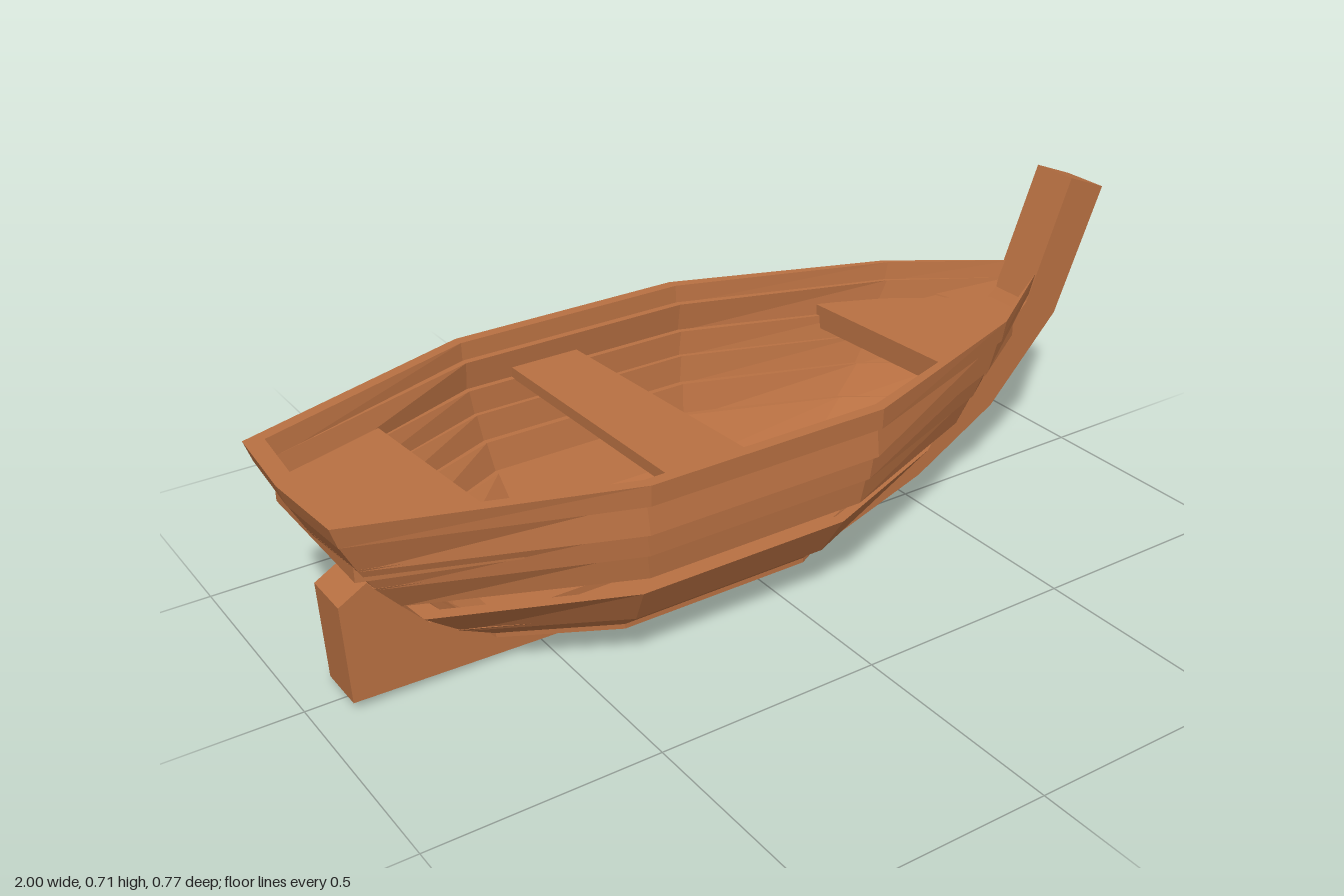
import * as THREE from 'three';

// Hull lines by height: [y, stern x, stern half width, bow x]
const LINES = [
  [0.06, -0.6, 0.07, 0.24], [0.13, -0.72, 0.1, 0.45], [0.2, -0.8, 0.14, 0.57],
  [0.27, -0.86, 0.165, 0.67], [0.34, -0.92, 0.18, 0.73], [0.44, -0.98, 0.195, 0.81], [0.5, -1, 0.2, 0.83],
];

function lineAt(y) {
  let i = 0;
  while (i < LINES.length - 2 && y > LINES[i + 1][0]) i++;
  const a = LINES[i], b = LINES[i + 1], t = (y - a[0]) / (b[0] - a[0]);
  return [1, 2, 3].map((k) => a[k] + (b[k] - a[k]) * t);
}

// Plan outline of the hull at one height, from the left bow round the stern to the right bow
function outline(y, w, inset) {
  const [stern, sternW, bow] = lineAt(y);
  const low = Math.max(0, 0.4 - y) * 0.15, m = w - inset;
  const half = [
    [bow, Math.min(0.04, m)], [0.1 - low + (bow - 0.1 + low) * 0.66, m * 0.545],
    [0.1 - low, m], [-0.44 + low, m],
    [stern + 0.015 + inset * 1.5, Math.min(sternW, w) - inset * 0.6],
  ];
  const left = half.map(([x, z]) => new THREE.Vector3(x, y, z));
  const right = half.map(([x, z]) => new THREE.Vector3(x, y, -z)).reverse();
  return [...left, new THREE.Vector3(stern + inset * 1.5, y, 0), ...right];
}

// One plank course with thickness, starting at a chosen outline segment
function strake([yTop, wTop, yBot, wBot], first, material) {
  const t = 0.026;
  const rows = [outline(yTop, wTop, 0), outline(yBot, wBot, 0), outline(yBot, wBot, t), outline(yTop, wTop, t)];
  const pos = [];
  for (let i = first; i < rows[0].length - 1; i++) {
    for (let r = 0; r < 4; r++) {
      const a = rows[r], b = rows[(r + 1) % 4];
      for (const p of [a[i], a[i + 1], b[i + 1], a[i], b[i + 1], b[i]]) pos.push(p.x, p.y, p.z);
    }
  }
  const geo = new THREE.BufferGeometry();
  geo.setAttribute('position', new THREE.Float32BufferAttribute(pos, 3));
  geo.computeVertexNormals();
  return new THREE.Mesh(geo, material);
}

function extrude(points, depth) {
  const shape = new THREE.Shape(points.map(([x, y]) => new THREE.Vector2(x, y)));
  return new THREE.ExtrudeGeometry(shape, { depth, bevelEnabled: false });
}

// Horizontal board given by [x, z] corners
function board(name, points, top, thickness, material) {
  const geo = extrude(points.map(([x, z]) => [x, -z]), thickness);
  geo.rotateX(-Math.PI / 2).translate(0, top - thickness, 0);
  const mesh = new THREE.Mesh(geo, material);
  mesh.name = name;
  return mesh;
}

export function createModel() {
  const model = new THREE.Group();
  model.name = 'rowingBoat';
  const wood = new THREE.MeshStandardMaterial({ color: 0xb87042, flatShading: true, side: THREE.DoubleSide });
  wood.name = 'brownWood';

  // Overlapping plank courses: [top y, top half width, bottom y, bottom half width]
  const hull = new THREE.Group();
  hull.name = 'hull';
  const courses = [
    [0.5, 0.386, 0.455, 0.384], [0.46, 0.368, 0.39, 0.378], [0.395, 0.364, 0.335, 0.362],
    [0.34, 0.352, 0.275, 0.345], [0.28, 0.332, 0.2, 0.315], [0.215, 0.305, 0.125, 0.252],
    [0.135, 0.25, 0.078, 0.195],
  ];
  courses.forEach((c, i) => {
    // One course is missing along the left side
    const plank = strake(c, i === 4 ? 4 : 0, wood);
    plank.name = i === 0 ? 'gunwale' : 'plank' + i;
    hull.add(plank);
  });

  // Bottom boards closing the hull
  const floor = outline(0.08, 0.198, 0).map((p) => [p.x, p.z]);
  hull.add(board('bottomBoards', floor, 0.084, 0.014, wood));
  model.add(hull);

  // Keel sweeping up into the stem
  const keelGeo = extrude([
    [-0.92, 0.02], [-0.5, 0.01], [0.26, 0], [0.49, 0.08], [0.7, 0.2], [0.88, 0.39], [1, 0.675], [0.9, 0.715],
    [0.79, 0.44], [0.63, 0.275], [0.44, 0.16], [0.23, 0.1], [-0.6, 0.1], [-0.74, 0.15], [-0.86, 0.28], [-0.93, 0.24],
  ], 0.11);
  keelGeo.translate(0, 0, -0.055);
  const keel = new THREE.Mesh(keelGeo, wood);
  keel.name = 'keelAndStem';
  model.add(keel);

  // Benches
  model.add(
    board('sternBench', [[-0.94, -0.18], [-0.69, -0.265], [-0.65, 0.28], [-0.94, 0.18]], 0.42, 0.055, wood),
    board('middleBench', [[-0.33, -0.36], [-0.17, -0.36], [-0.12, 0.36], [-0.31, 0.36]], 0.418, 0.025, wood),
    board('bowBench', [[0.41, -0.245], [0.56, -0.18], [0.79, -0.03], [0.79, 0.03], [0.56, 0.18], [0.445, 0.23]], 0.42, 0.055, wood),
  );
  return model;
}
